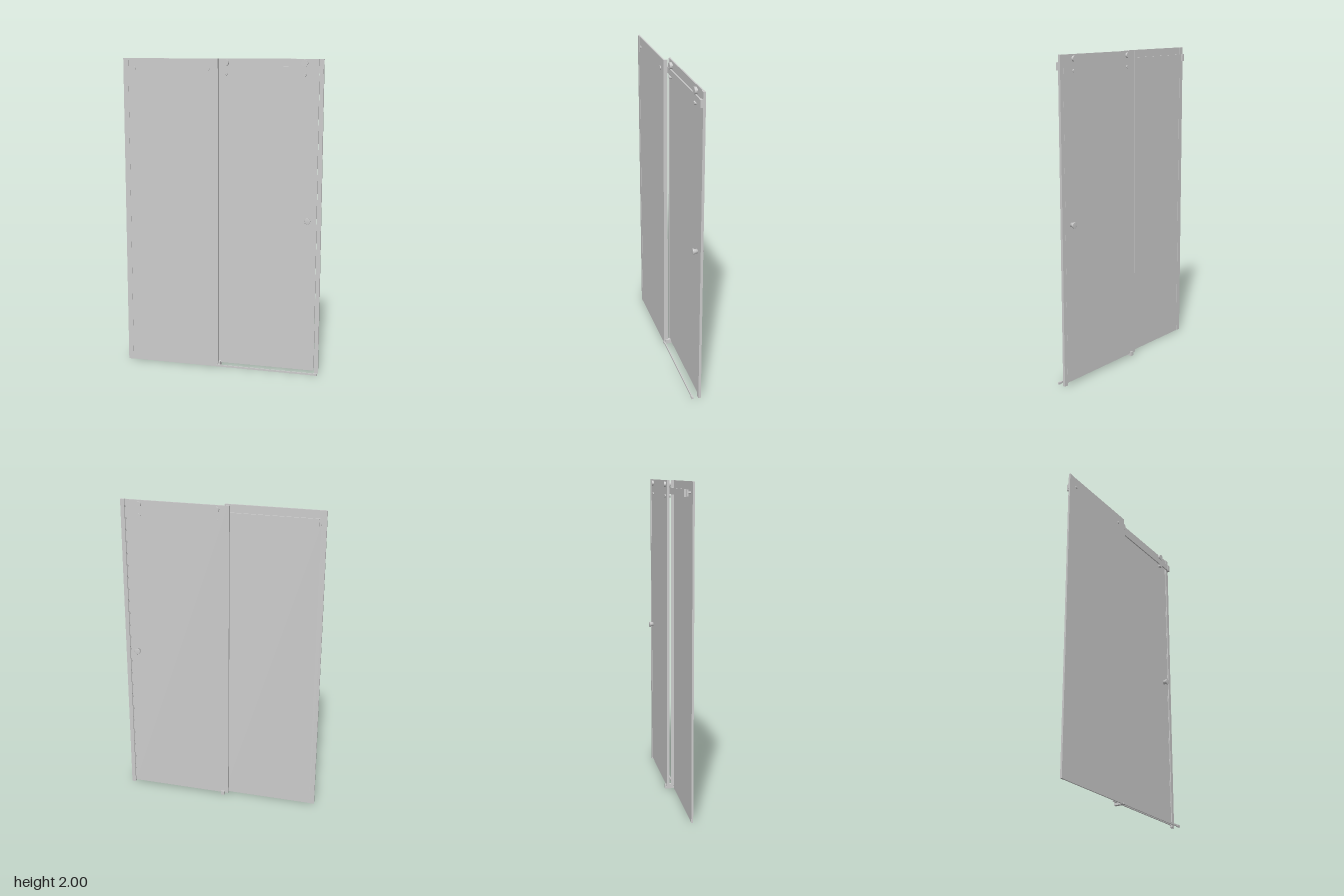
import * as THREE from 'three';

export function createModel() {
  const model = new THREE.Group();
  const mat = new THREE.MeshStandardMaterial({ color: 0xcccccc });

  const add = (name, geo) => {
    const mesh = new THREE.Mesh(geo, mat);
    mesh.name = name;
    model.add(mesh);
    return mesh;
  };
  // box given by its extents on each axis
  const box = (name, x0, x1, y0, y1, z0, z1) =>
    add(name, new THREE.BoxGeometry(x1 - x0, y1 - y0, z1 - z0))
      .position.set((x0 + x1) / 2, (y0 + y1) / 2, (z0 + z1) / 2);
  // disc or pin along z
  const pin = (name, x, y, r, z0, z1) =>
    add(name, new THREE.CylinderGeometry(r, r, z1 - z0, 32).rotateX(Math.PI / 2))
      .position.set(x, y, (z0 + z1) / 2);

  // Glass panels
  box('fixedPanel', -0.635, -0.02, 0, 2, 0.028, 0.036);
  box('slidingDoor', -0.05, 0.605, 0.015, 2, -0.018, -0.010);

  // Wall profiles
  box('fixedWallChannel', -0.64, -0.607, 0, 2, 0.026, 0.038);
  box('doorWallJamb', 0.612, 0.638, 0, 2, -0.021, -0.005);

  // Edge seals
  box('fixedPanelSeal', -0.025, -0.018, 0.02, 2, 0.010, 0.036);
  box('doorSealInner', -0.057, -0.05, 0.015, 2, -0.021, -0.006);
  box('doorSealOuter', 0.603, 0.609, 0.015, 2, -0.019, -0.009);

  // Threshold along the floor with its end block
  box('threshold', -0.02, 0.635, 0, 0.012, 0.031, 0.037);
  box('thresholdEnd', 0.612, 0.638, 0, 0.013, 0.028, 0.039);

  // Floor guide: base with two jaws around the door
  box('guideBase', -0.03, -0.008, 0, 0.012, -0.03, 0.04);
  box('guideBackJaw', -0.03, -0.008, 0.012, 0.028, -0.03, -0.020);
  box('guideFrontJaw', -0.03, -0.008, 0.012, 0.028, -0.008, 0.027);

  // Overhead rail, wall bracket and end stop
  box('rail', -0.61, 0.62, 1.915, 1.955, -0.001, 0.007);
  box('railWallBracket', 0.612, 0.638, 1.912, 1.957, -0.004, 0.011);
  box('railEndStop', -0.6, -0.583, 1.912, 1.957, -0.015, -0.001);

  // Stand-offs joining the rail to the fixed panel
  for (const x of [-0.567, -0.083]) {
    pin('standoff', x, 1.936, 0.007, 0.006, 0.029);
    pin('standoffHead', x, 1.936, 0.011, 0.035, 0.041);
  }

  // Rollers on the rail, with anti-lift discs below
  for (const x of [0.022, 0.52]) {
    pin('rollerAxle', x, 1.974, 0.008, -0.022, 0.012);
    pin('roller', x, 1.974, 0.021, -0.004, 0.012);
    pin('rollerBackCap', x, 1.974, 0.017, -0.03, -0.018);
    pin('antiLiftAxle', x, 1.904, 0.006, -0.02, 0.012);
    pin('antiLiftDisc', x, 1.904, 0.012, -0.004, 0.011);
    pin('antiLiftBackCap', x, 1.904, 0.010, -0.024, -0.018);
  }

  // Flared knobs on both faces of the door
  const knob = (name, z, length, dir) => {
    const profile = [[0, 0], [0.014, 0], [0.014, 0.55], [0.019, 0.75], [0.019, 0.95], [0.017, 1], [0, 1]]
      .map(([r, t]) => new THREE.Vector2(r, t * length));
    add(name, new THREE.LatheGeometry(profile, 32).rotateX(dir * Math.PI / 2)).position.set(0.555, 1, z);
  };
  knob('frontKnob', -0.010, 0.03, 1);
  knob('backKnob', -0.018, 0.027, -1);

  return model;
}
